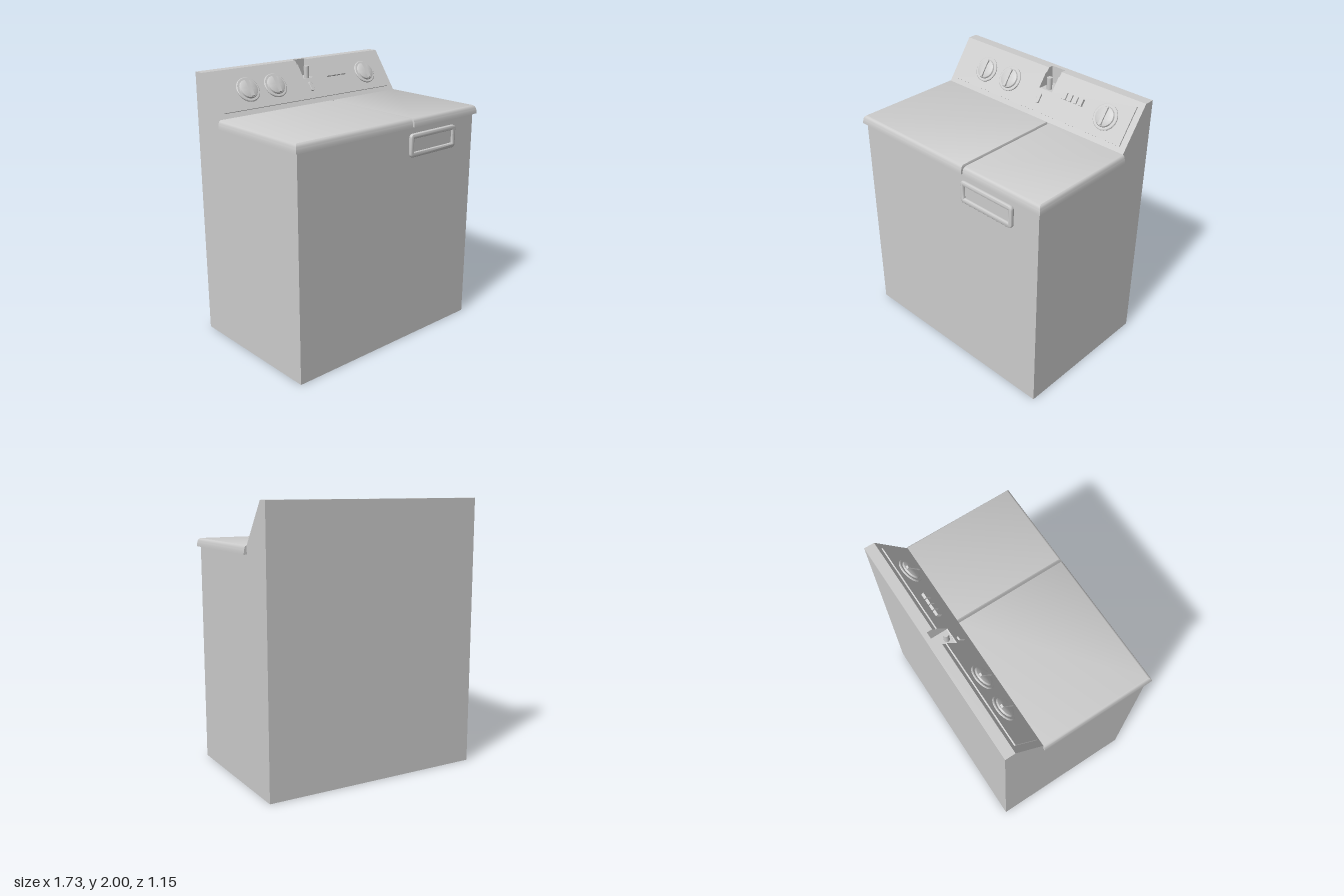
import * as THREE from 'three';
import { toCreasedNormals } from 'three/addons/utils/BufferGeometryUtils.js';

const material = new THREE.MeshStandardMaterial({ color: 0xcccccc });

function add(parent, name, geometry, x = 0, y = 0, z = 0) {
  const mesh = new THREE.Mesh(geometry, material);
  mesh.name = name;
  mesh.position.set(x, y, z);
  parent.add(mesh);
  return mesh;
}

const polygon = (points) => new THREE.Shape(points.map(([x, y]) => new THREE.Vector2(x, y)));

// Extrude a (z, y) side profile across the width from x0 to x1
function sideExtrude(points, x0, x1) {
  const g = new THREE.ExtrudeGeometry(polygon(points), { depth: x1 - x0, bevelEnabled: false });
  return g.rotateY(-Math.PI / 2).translate(x1, 0, 0);
}

function roundedRect(path, w, h, r) {
  const x = w / 2, y = h / 2;
  path.moveTo(-x + r, -y);
  path.lineTo(x - r, -y);
  path.quadraticCurveTo(x, -y, x, -y + r);
  path.lineTo(x, y - r);
  path.quadraticCurveTo(x, y, x - r, y);
  path.lineTo(-x + r, y);
  path.quadraticCurveTo(-x, y, -x, y - r);
  path.lineTo(-x, -y + r);
  path.quadraticCurveTo(-x, -y, -x + r, -y);
  return path;
}

// Lid slab whose front and side edges roll over towards the top
function lid(x0, x1, leftInset, rightInset) {
  const bottom = 1.64, h = 0.062, back = -0.285, front = 0.572;
  const g = new THREE.BoxGeometry(x1 - x0, h, front - back, 1, 8, 1);
  g.translate((x0 + x1) / 2, bottom + h / 2, (front + back) / 2);
  const p = g.attributes.position;
  for (let i = 0; i < p.count; i++) {
    const t = (p.getY(i) - bottom) / h;
    const roll = 1 - Math.sqrt(Math.max(0, 1 - t * t));
    const x = p.getX(i);
    p.setX(i, x < (x0 + x1) / 2 ? x + leftInset * roll : x - rightInset * roll);
    if (p.getZ(i) > 0) p.setZ(i, p.getZ(i) - 0.025 * roll);
  }
  return toCreasedNormals(g, 0.7);
}

// Round control: flat dial, domed cap and a raised grip
function knob(name) {
  const group = new THREE.Group();
  group.name = name;
  const profile = [[0, 0], [0.095, 0], [0.095, 0.007], [0.09, 0.011], [0.074, 0.011],
    [0.07, 0.022], [0.055, 0.028], [0.03, 0.031], [0, 0.032]];
  const dial = new THREE.LatheGeometry(profile.map(([r, y]) => new THREE.Vector2(r, y)), 40);
  add(group, 'dial', toCreasedNormals(dial.rotateX(Math.PI / 2), 0.6));
  add(group, 'grip', new THREE.BoxGeometry(0.022, 0.13, 0.026), 0, 0, 0.028);
  return group;
}

export function createModel() {
  const model = new THREE.Group();
  model.name = 'washingMachine';

  // Cabinet
  const W = 0.843;
  add(model, 'cabinet', new THREE.BoxGeometry(2 * W, 1.64, 1.125), 0, 0.82, -0.0125);

  // Two-part top with a narrow gap
  add(model, 'mainLid', lid(-0.865, 0.174, 0.02, 0.006));
  add(model, 'sideLid', lid(0.187, 0.865, 0.006, 0.02));

  // Sloping console, with an open pocket cut into the top
  const slope = [[-0.575, 1.64], [-0.285, 1.64], [-0.285, 1.7]];
  const full = [...slope, [-0.5, 2], [-0.575, 2]];
  const pocket = [...slope, [-0.407, 1.87], [-0.54, 1.87], [-0.54, 2], [-0.575, 2]];
  const console_ = new THREE.Group();
  console_.name = 'console';
  model.add(console_);
  add(console_, 'consoleRight', sideExtrude(full, -W, -0.01));
  add(console_, 'consolePocket', sideExtrude(pocket, -0.01, 0.11));
  add(console_, 'consoleLeft', sideExtrude(full, 0.11, W));

  // Post standing in the pocket
  add(console_, 'pocketButton', new THREE.CylinderGeometry(0.02, 0.02, 0.09, 20), 0.05, 1.915, -0.44);

  // Everything on the slope is placed in its own tilted plane
  const controls = new THREE.Group();
  controls.name = 'controls';
  controls.position.set(0, 1.7, -0.285);
  controls.rotation.x = -Math.atan2(0.215, 0.3);
  model.add(controls);
  const up = (y) => (y - 1.7) / 0.813;

  const bottom = up(1.733), top = up(1.968), notch = up(1.87);
  const panel = polygon([[-0.795, bottom], [0.795, bottom], [0.795, top], [0.11, top],
    [0.11, notch], [-0.01, notch], [-0.01, top], [-0.795, top]]);
  add(controls, 'panel', new THREE.ExtrudeGeometry(panel, { depth: 0.01, bevelEnabled: false }));

  [[-0.535, 'firstKnob'], [-0.29, 'secondKnob'], [0.605, 'thirdKnob']].forEach(([x, name]) => {
    const k = knob(name);
    k.position.set(x, up(1.853), 0.01);
    controls.add(k);
  });

  // Row of push buttons and an indicator
  for (let i = 0; i < 4; i++) {
    add(controls, 'pushButton', new THREE.BoxGeometry(0.04, 0.052, 0.025), 0.232 + i * 0.048, up(1.878), 0.018);
  }
  const pill = roundedRect(new THREE.Shape(), 0.026, 0.07, 0.011);
  add(controls, 'indicator', new THREE.ExtrudeGeometry(pill,
    { depth: 0.012, bevelSize: 0.002, bevelThickness: 0.003, bevelSegments: 2 }), 0.025, up(1.81), 0.008);

  // Framed plate on the front
  const frame = roundedRect(new THREE.Shape(), 0.45, 0.15, 0.02);
  frame.holes.push(roundedRect(new THREE.Path(), 0.426, 0.118, 0.008));
  const frameGeometry = new THREE.ExtrudeGeometry(frame,
    { depth: 0.014, bevelSize: 0.01, bevelThickness: 0.009, bevelSegments: 4, curveSegments: 6 });
  add(model, 'frontFrame', toCreasedNormals(frameGeometry, 0.7), 0.395, 1.507, 0.552);
  add(model, 'framePlate', new THREE.BoxGeometry(0.42, 0.11, 0.01), 0.395, 1.507, 0.552);

  return model;
}
